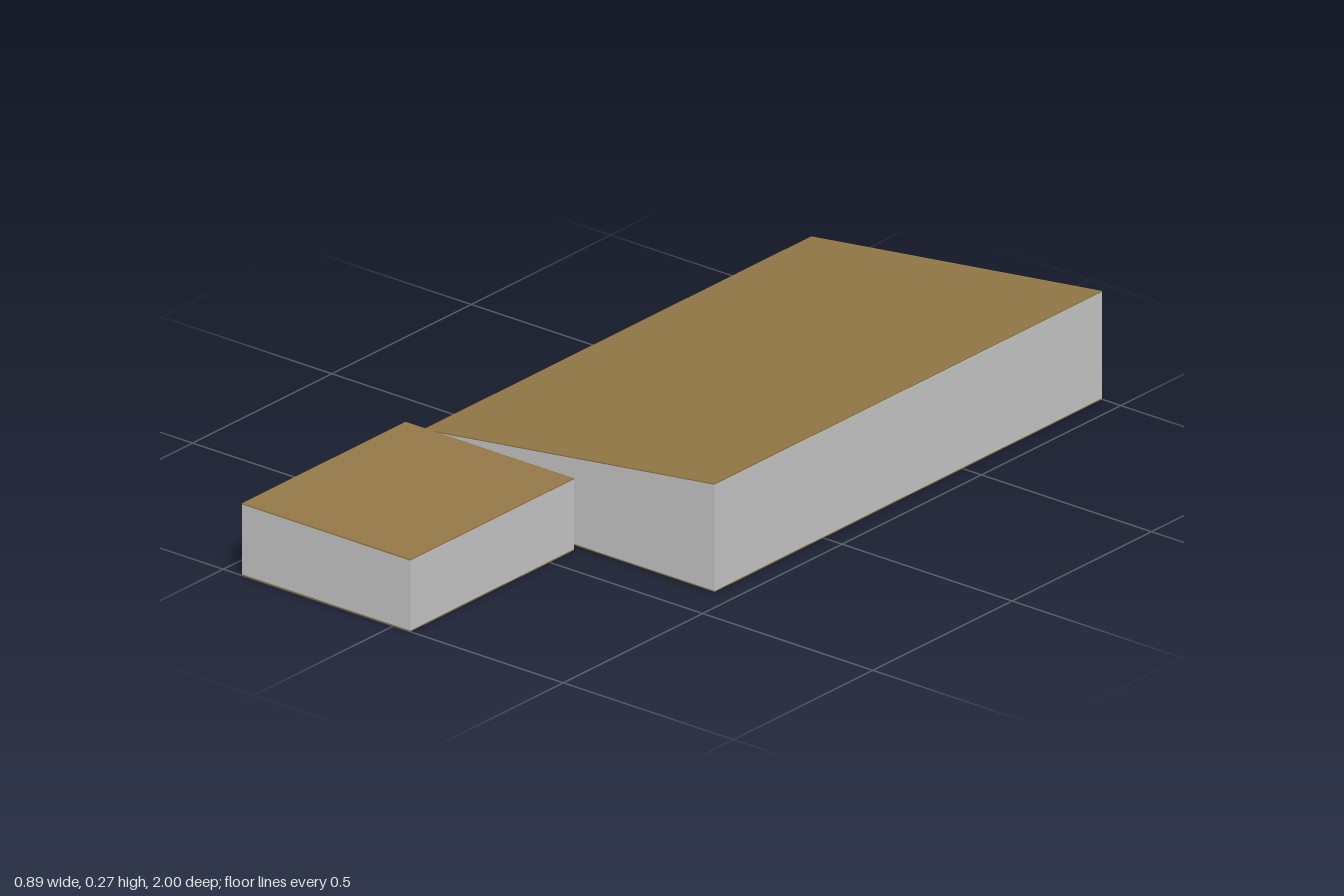
import * as THREE from 'three';

const grey = new THREE.MeshStandardMaterial({ color: 0xcccccc });
const tan = new THREE.MeshStandardMaterial({ color: 0x967a48 });
const dark = new THREE.MeshStandardMaterial({ color: 0x2c2c2c });

const SKIN = 0.003, WALL = 0.01;
const X0 = -0.41, X1 = 0.445, Z0 = -1, Z1 = 0.39;
const SLOPE = 0.124;
const roofY = x => 0.27 - SLOPE * (X1 - x);

function add(group, name, geometry, material) {
  const mesh = new THREE.Mesh(geometry, material);
  mesh.name = name;
  group.add(mesh);
  return mesh;
}

// Box given by its minimum and maximum corners
function box(group, name, material, [ax, ay, az], [bx, by, bz]) {
  const mesh = add(group, name, new THREE.BoxGeometry(bx - ax, by - ay, bz - az), material);
  mesh.position.set((ax + bx) / 2, (ay + by) / 2, (az + bz) / 2);
  return mesh;
}

// Polygon in x/y extruded along z from za to zb
function prism(group, name, material, points, za, zb) {
  const shape = new THREE.Shape(points.map(p => new THREE.Vector2(...p)));
  const geometry = new THREE.ExtrudeGeometry(shape, { depth: zb - za, bevelEnabled: false });
  return add(group, name, geometry.translate(0, 0, za), material);
}

// Band under the sloping roof line, between two depths below it
const slopeBand = (xa, xb, top, bottom) => [
  [xa, roofY(xa) - bottom], [xb, roofY(xb) - bottom], [xb, roofY(xb) - top], [xa, roofY(xa) - top],
];

function rect(Type, a, b, c, d) {
  return new Type([[a, b], [c, b], [c, d], [a, d]].map(p => new THREE.Vector2(...p)));
}

function createHall() {
  const hall = new THREE.Group();
  hall.name = 'mainHall';
  box(hall, 'hallFloor', tan, [X0, 0, Z0], [X1, SKIN, Z1]);
  prism(hall, 'hallRoof', tan, slopeBand(X0, X1, 0, SKIN), Z0, Z1);

  // Sloping end walls and the tall side wall
  const gable = [[X0, SKIN], [X1, SKIN], [X1, roofY(X1) - SKIN], [X0, roofY(X0) - SKIN]];
  prism(hall, 'frontWall', grey, gable, Z1 - WALL, Z1);
  prism(hall, 'backWall', grey, gable, Z0, Z0 + WALL);
  box(hall, 'tallSideWall', grey, [X1 - WALL, SKIN, Z0 + WALL], [X1, roofY(X1 - WALL) - SKIN, Z1 - WALL]);

  // Low side wall with three gate openings
  const za = -0.57, bay = 0.175, gateTop = 0.152;
  const side = rect(THREE.Shape, Z0 + WALL, SKIN, Z1 - WALL, roofY(X0) - SKIN);
  const sill = 0.006, bar = 0.008;
  for (let i = 0; i < 3; i++) {
    const z = za + i * bay;
    side.holes.push(rect(THREE.Path, z + 0.002, sill, z + bay - 0.002, gateTop));

    // Dark frame lining each opening
    const frame = rect(THREE.Shape, z, sill - 0.002, z + bay - 0.003, gateTop + 0.002);
    frame.holes.push(rect(THREE.Path, z + bar, sill + 0.003, z + bay - bar, gateTop - bar));
    const geometry = new THREE.ExtrudeGeometry(frame, { depth: WALL + 0.004, bevelEnabled: false });
    add(hall, 'gateFrame', geometry.rotateY(-Math.PI / 2).translate(X0 + WALL + 0.002, 0, 0), dark);
  }
  const wall = new THREE.ExtrudeGeometry(side, { depth: WALL, bevelEnabled: false });
  add(hall, 'lowSideWall', wall.rotateY(-Math.PI / 2).translate(X0 + WALL, 0, 0), grey);

  // Rafters and purlins carrying the roof inside
  for (let i = 0; i < 8; i++) {
    const z = 0.36 - i * 0.18;
    prism(hall, 'rafter', grey, slopeBand(X0 + WALL, X1 - WALL, SKIN, 0.014), z - 0.004, z + 0.004);
  }
  for (const x of [-0.2, 0.19]) {
    prism(hall, 'purlin', grey, slopeBand(x - 0.004, x + 0.004, SKIN, 0.012), Z0 + WALL, Z1 - WALL);
  }
  return hall;
}

function createAnnex() {
  const annex = new THREE.Group();
  annex.name = 'annex';
  const xa = -0.445, xb = 0.05, za = 0.413, zb = 1, h = 0.18;
  box(annex, 'annexFloor', tan, [xa, 0, za], [xb, SKIN, zb]);
  box(annex, 'annexWalls', grey, [xa, SKIN, za], [xb, h - SKIN, zb]);
  box(annex, 'annexRoof', tan, [xa, h - SKIN, za], [xb, h, zb]);
  return annex;
}

// Short passage joining the two buildings
function createPassage() {
  const passage = new THREE.Group();
  passage.name = 'passage';
  const za = Z1, zb = 0.413, h = 0.155;
  for (const x of [-0.27, -0.145]) {
    box(passage, 'passageJamb', grey, [x, 0, za], [x + 0.02, h, zb]);
  }
  box(passage, 'passageCore', grey, [-0.25, 0.002, za], [-0.145, h - 0.003, zb]);
  return passage;
}

export function createModel() {
  const model = new THREE.Group();
  model.name = 'farmBuildings';
  model.add(createHall(), createAnnex(), createPassage());
  return model;
}
